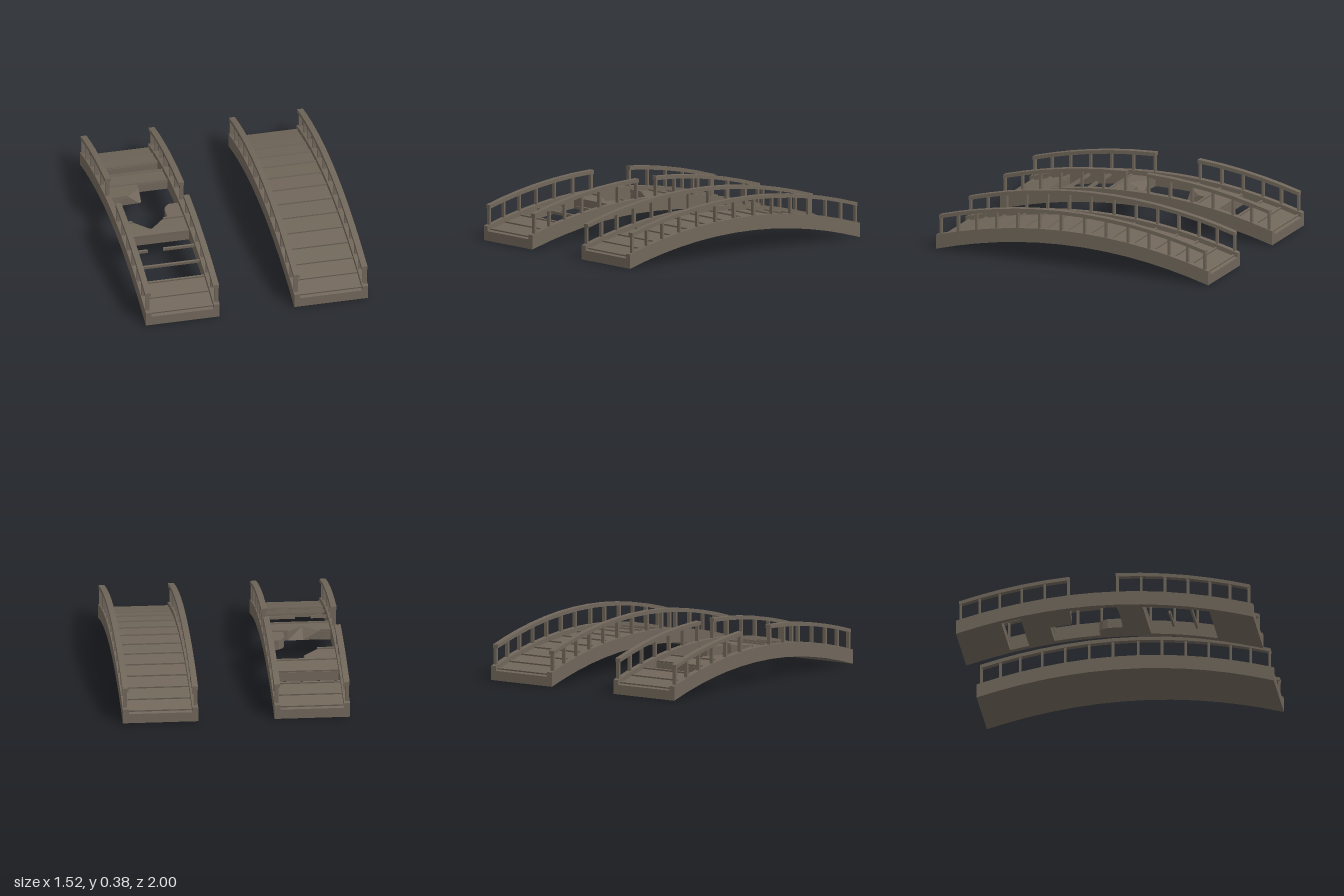
import * as THREE from 'three';

const wood = new THREE.MeshStandardMaterial({ color: 0x70665a });
wood.name = 'weatheredWood';

// Stations along the arch: one post and one batten at each
const half = [0.085, 0.245, 0.405, 0.56, 0.708, 0.842, 0.97];
const stations = [...half.map((z) => -z).reverse(), ...half];
const rise = (z) => 0.148 * (1 - z * z);
const DECK = 0.065, CURB = 0.097, RAIL = 0.232;
const HALF_W = 0.2525, SIDE = 0.04, INNER = HALF_W - SIDE;

function add(group, geometry, name) {
  const mesh = new THREE.Mesh(geometry, wood);
  mesh.name = name;
  group.add(mesh);
  return mesh;
}

// Curved bar following the arch, between two heights above its underside
function archStrip(group, name, x0, x1, z0, z1, low, high) {
  const zs = [z0, ...stations.filter((z) => z > z0 + 0.004 && z < z1 - 0.004), z1];
  const lower = zs.map((z) => new THREE.Vector2(-z, rise(z) + low));
  const upper = zs.map((z) => new THREE.Vector2(-z, rise(z) + high)).reverse();
  const geometry = new THREE.ExtrudeGeometry(new THREE.Shape([...lower, ...upper]), {
    depth: x1 - x0, bevelEnabled: false,
  });
  geometry.rotateY(Math.PI / 2).translate(x0, 0, 0);
  return add(group, geometry, name);
}

// Broken chunk of deck: matching top and bottom outlines of [x, z] points
function brokenDeck(group, name, top, bottom) {
  const n = top.length;
  const t = top.map(([x, z]) => [x, rise(z) + DECK, z]);
  const b = bottom.map(([x, z]) => [x, rise(z), z]);
  const pos = [];
  const cap = (outline, ring, up) => {
    const flat = outline.map(([x, z]) => new THREE.Vector2(x, z));
    for (const [i, j, k] of THREE.ShapeUtils.triangulateShape(flat, [])) {
      const area = (flat[j].x - flat[i].x) * (flat[k].y - flat[i].y)
        - (flat[j].y - flat[i].y) * (flat[k].x - flat[i].x);
      const order = (area < 0) === up ? [i, j, k] : [i, k, j];
      order.forEach((v) => pos.push(...ring[v]));
    }
  };
  cap(top, t, true);
  cap(bottom, b, false);
  // Outlines run clockwise as seen from above with x right and z up
  const turn = THREE.ShapeUtils.area(top.map(([x, z]) => new THREE.Vector2(x, z)));
  for (let i = 0; i < n; i++) {
    const j = (i + 1) % n;
    const quad = turn > 0
      ? [t[i], t[j], b[j], t[i], b[j], b[i]]
      : [t[i], b[j], t[j], t[i], b[i], b[j]];
    quad.forEach((p) => pos.push(...p));
  }
  const geometry = new THREE.BufferGeometry();
  geometry.setAttribute('position', new THREE.Float32BufferAttribute(pos, 3));
  geometry.computeVertexNormals();
  return add(group, geometry, name);
}

// Raised strip across the deck
function batten(group, z, x0 = -INNER, x1 = INNER) {
  const mesh = add(group, new THREE.BoxGeometry(x1 - x0, 0.02, 0.014), 'batten');
  mesh.position.set((x0 + x1) / 2, rise(z) + DECK, z);
  mesh.rotation.x = Math.atan(0.296 * z);
}

// Handrail with posts; each run is a [z0, z1] range
function railing(group, side, runs) {
  const rail = new THREE.Group();
  rail.name = side > 0 ? 'leftRailing' : 'rightRailing';
  const a = side * HALF_W, b = side * INNER;
  for (const [z0, z1] of runs) {
    archStrip(rail, 'handrail', Math.min(a, b), Math.max(a, b), z0, z1, RAIL - 0.025, RAIL);
    for (const z of stations.filter((s) => s > z0 && s < z1)) {
      const h = RAIL - CURB - 0.005;
      const post = add(rail, new THREE.BoxGeometry(0.025, h, 0.015), 'post');
      post.position.set(side * (HALF_W - 0.017), rise(z) + CURB - 0.01 + h / 2, z);
    }
  }
  group.add(rail);
}

function curbs(group) {
  archStrip(group, 'leftCurb', INNER, HALF_W, -1, 1, 0, CURB);
  archStrip(group, 'rightCurb', -HALF_W, -INNER, -1, 1, 0, CURB);
}

function intactBridge() {
  const g = new THREE.Group();
  g.name = 'intactBridge';
  curbs(g);
  archStrip(g, 'deck', -INNER, INNER, -1, 1, 0, DECK);
  stations.forEach((z) => batten(g, z));
  railing(g, 1, [[-0.978, 0.978]]);
  railing(g, -1, [[-0.978, 0.978]]);
  return g;
}

function brokenBridge() {
  const g = new THREE.Group();
  g.name = 'brokenBridge';
  curbs(g);

  // Whole deck sections still in place
  for (const [z0, z1] of [[-1, -0.7], [-0.57, -0.4], [0.7, 1]]) {
    archStrip(g, 'deckSection', -INNER, INNER, z0, z1, 0, DECK);
  }

  // Half-width section with a snapped corner
  brokenDeck(g, 'snappedDeck',
    [[-INNER, -0.4], [0, -0.4], [0, -0.34], [-0.095, -0.245], [-INNER, -0.245]],
    [[-INNER, -0.4], [0, -0.4], [0, -0.26], [-0.015, -0.25], [-INNER, -0.24]]);

  // Stub along the left curb
  const stub = [[INNER, -0.09], [0.15, -0.09], [0.122, -0.065], [0.107, -0.03], [0.107, 0.075], [INNER, 0.075]];
  brokenDeck(g, 'deckStub', stub, stub);

  // Section with a sloping notch broken out of its edge
  brokenDeck(g, 'notchedDeck',
    [[-INNER, 0.25], [-INNER, 0.072], [-0.138, 0.075], [-0.03, 0.18], [0.075, 0.075], [INNER, 0.07], [INNER, 0.25]],
    [[-INNER, 0.25], [-INNER, 0.072], [-0.138, 0.08], [-0.03, 0.08], [0.075, 0.075], [INNER, 0.07], [INNER, 0.25]]);

  // Battens, including the bare ones left over the gap
  [-0.97, -0.842, -0.708, -0.56, -0.405, 0.245, 0.56, 0.708, 0.842, 0.97].forEach((z) => batten(g, z));
  batten(g, -0.245, -INNER, -0.095);
  batten(g, 0.08, -INNER, -0.138);
  batten(g, 0.08, 0.075, INNER);
  batten(g, 0.403, -INNER, -0.105);
  batten(g, 0.403, 0, INNER);

  railing(g, 1, [[-0.978, -0.075], [0.075, 0.978]]);
  railing(g, -1, [[-0.978, -0.237], [0.075, 0.978]]);
  return g;
}

export function createModel() {
  const model = new THREE.Group();
  model.name = 'archedBridges';
  const intact = intactBridge();
  intact.position.x = 0.5075;
  const broken = brokenBridge();
  broken.position.x = -0.5075;
  model.add(intact, broken);
  return model;
}
